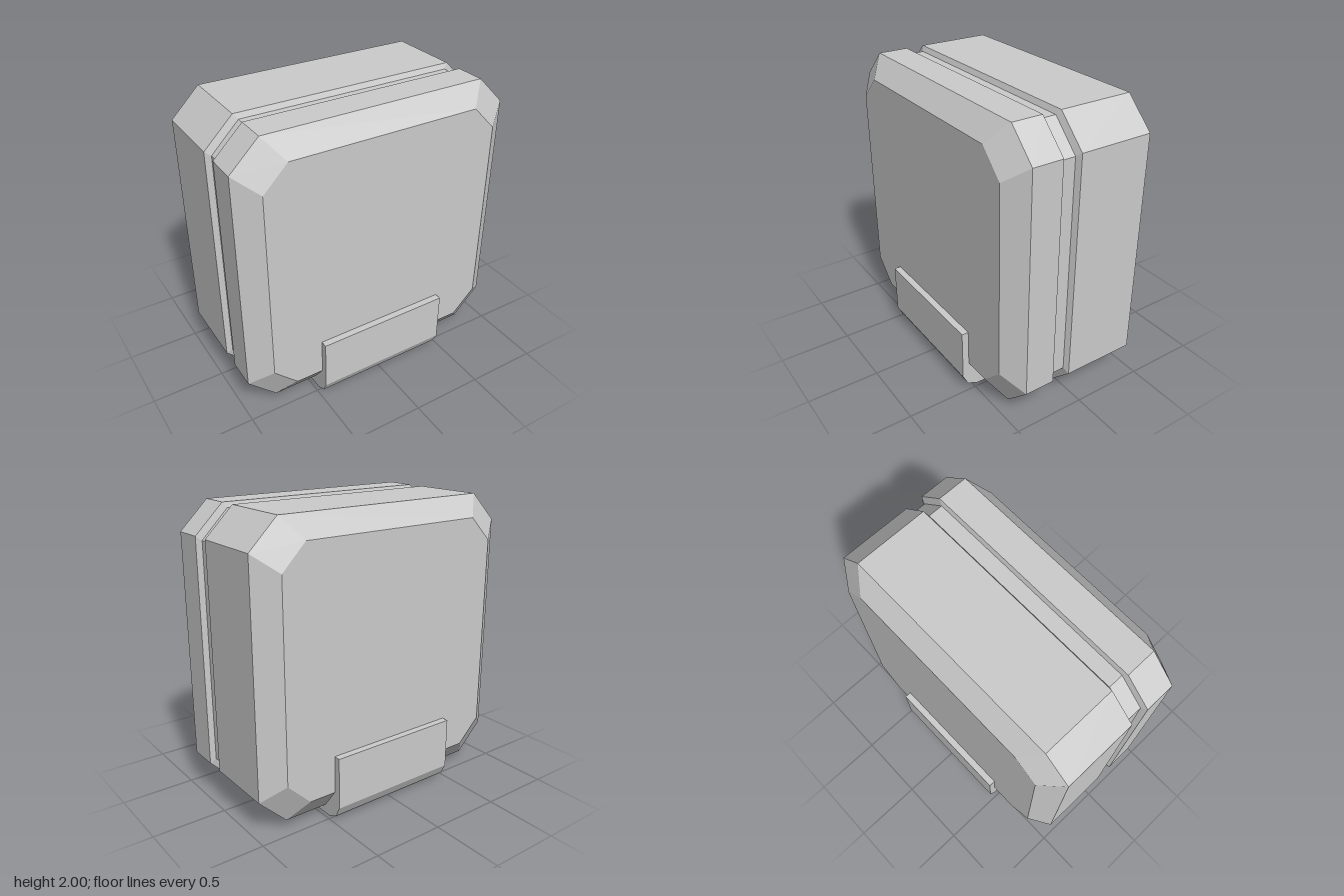
import * as THREE from 'three';

const material = new THREE.MeshStandardMaterial({ color: 0xcccccc, flatShading: true });

// Octagon outline, counter-clockwise seen from +z:
// half width w, bottom b, top t, and the corner points cx, cb, ct
function octagon({ w, b, t, cx, cb, ct }) {
  return [[w, cb], [w, ct], [cx, t], [-cx, t], [-w, ct], [-w, cb], [-cx, b], [cx, b]];
}

// Joins outlines at different depths (front to back) and caps both ends
function loft(sections) {
  const rings = sections.map(([z, outline]) => octagon(outline).map(([x, y]) => [x, y, z]));
  const n = rings[0].length;
  const positions = [];
  const tri = (...points) => points.forEach((p) => positions.push(...p));
  for (let r = 0; r < rings.length - 1; r++) {
    for (let i = 0; i < n; i++) {
      const j = (i + 1) % n;
      const [a, b, c, d] = [rings[r][i], rings[r][j], rings[r + 1][i], rings[r + 1][j]];
      tri(a, c, d);
      tri(a, d, b);
    }
  }
  const front = rings[0];
  const back = rings[rings.length - 1];
  for (let i = 1; i < n - 1; i++) {
    tri(front[0], front[i], front[i + 1]);
    tri(back[0], back[i + 1], back[i]);
  }
  const geometry = new THREE.BufferGeometry();
  geometry.setAttribute('position', new THREE.Float32BufferAttribute(positions, 3));
  geometry.computeVertexNormals();
  return geometry;
}

export function createModel() {
  const group = new THREE.Group();

  // Chamfered case with a groove running all the way round
  const face = { w: 0.83, b: 0.203, t: 1.86, cx: 0.665, cb: 0.365, ct: 1.693 };
  const rim = { w: 0.975, b: 0.06, t: 2.0, cx: 0.78, cb: 0.252, ct: 1.808 };
  const groove = { w: 0.937, b: 0.095, t: 1.965, cx: 0.752, cb: 0.282, ct: 1.78 };
  const body = new THREE.Mesh(loft([
    [0.533, face], [0.425, rim], [0.215, rim], [0.203, groove],
    [0.102, groove], [0.086, rim], [-0.425, rim], [-0.533, face],
  ]), material);
  body.name = 'body';
  group.add(body);

  // U-shaped clip wrapped under the case, drawn as a (z, y) profile
  const outer = [[0.58, 0.46], [0.58, 0.105], [0.543, 0.032], [0.47, 0]];
  const inner = [[0.425, 0.06], [0.533, 0.203], [0.533, 0.46]];
  const mirrored = (points) => points.map(([z, y]) => [-z, y]).reverse();
  const profile = [...outer, ...mirrored(outer), ...mirrored(inner), ...inner];
  const shape = new THREE.Shape(profile.map(([z, y]) => new THREE.Vector2(z, y)));
  const clipGeometry = new THREE.ExtrudeGeometry(shape, { depth: 0.95, bevelEnabled: false });
  clipGeometry.translate(0, 0, -0.475).rotateY(-Math.PI / 2);
  const clip = new THREE.Mesh(clipGeometry, material);
  clip.name = 'bottomClip';
  group.add(clip);

  return group;
}
